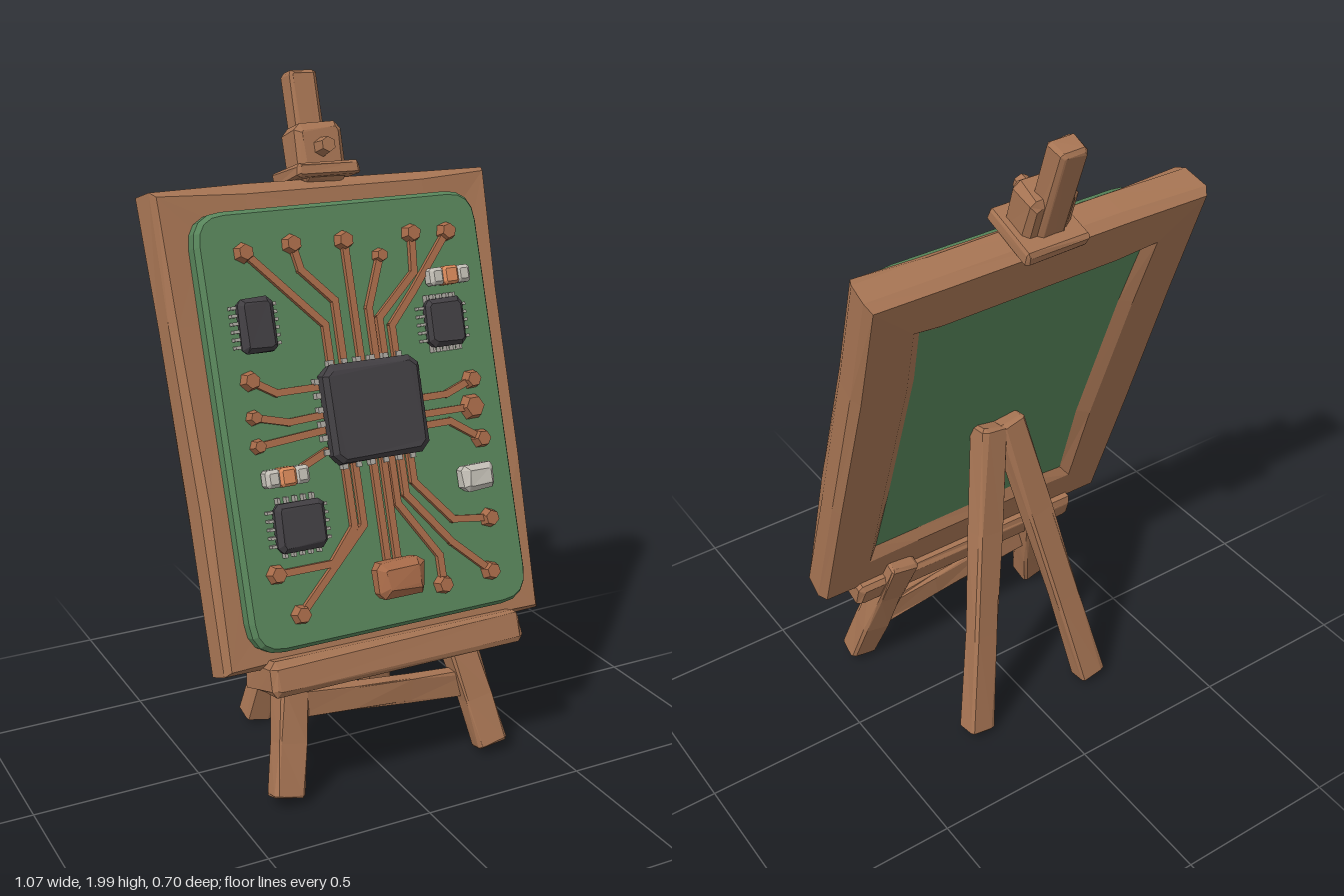
import * as THREE from 'three';

const mat = (name, color, side = THREE.FrontSide) => {
  const m = new THREE.MeshStandardMaterial({ color, flatShading: true, side });
  m.name = name;
  return m;
};

const TILT = 0.3175, C = Math.cos(TILT), S = Math.sin(TILT);
const FACE = 0.453; // front surface of the board, in the tilted frame
// height in the tilted frame of a point at upright height y and depth w
const lift = (y, w = FACE + 0.02) => (y - S * w) / C;

// repeatable wobble that depends only on position, so shared corners stay joined
const wobble = (x, y, z, k) => {
  const s = Math.sin(Math.round(x * 500) * 12.99 + Math.round(y * 500) * 78.23 + Math.round(z * 500) * 37.72 + k * 9.1) * 43758.5453;
  return (s - Math.floor(s)) * 2 - 1;
};

// chamfered block, centred, with hand-cut irregularity
function block(w, h, d, bevel = 0.012, rough = 0, steps = 1) {
  const a = w / 2 - bevel, b = h / 2 - bevel, c = Math.min(a, b) * 0.15;
  const shape = new THREE.Shape([[a, -b + c], [a, b - c], [a - c, b], [-a + c, b], [-a, b - c], [-a, -b + c], [-a + c, -b], [a - c, -b]]
    .map(p => new THREE.Vector2(...p)));
  const g = new THREE.ExtrudeGeometry(shape, {
    depth: d - 2 * bevel, steps, bevelEnabled: true, bevelSize: bevel, bevelThickness: bevel, bevelSegments: 1 });
  g.translate(0, 0, -d / 2 + bevel);
  const p = g.attributes.position;
  for (let i = 0; rough && i < p.count; i++) {
    const x = p.getX(i), y = p.getY(i), z = p.getZ(i);
    p.setXYZ(i, x + rough * wobble(x, y, z, 1), y + rough * wobble(x, y, z, 2), z + rough * 0.5 * wobble(x, y, z, 3));
  }
  g.computeVertexNormals();
  return g;
}

function add(parent, name, geometry, material, x = 0, y = 0, z = 0) {
  const m = new THREE.Mesh(geometry, material);
  m.name = name;
  m.position.set(x, y, z);
  parent.add(m);
  return m;
}

// wooden beam from a to b
function beam(parent, name, a, b, w, t, material) {
  const A = new THREE.Vector3(...a), B = new THREE.Vector3(...b);
  const m = new THREE.Mesh(block(w, t, A.distanceTo(B), 0.007, 0.005, 3), material);
  m.name = name;
  m.up.set(0, 0, 1);
  m.position.copy(A).add(B).multiplyScalar(0.5);
  m.lookAt(B);
  parent.add(m);
}

// mitred picture frame: one profile swept around corners and rail middles
function frameGeometry() {
  const profile = [[0.012, 0.27], [0, 0.3], [0.004, 0.37], [0.03, 0.4], [0.15, 0.395], [0.185, 0.29], [0.15, 0.267]];
  const stations = [ // x, v, inward x, inward v
    [-0.525, 0.32, 1, 1], [-0.2, 0.328, 0, 1], [0.2, 0.325, 0, 1], [0.525, 0.32, -1, 1],
    [0.522, 0.8, -1, 0], [0.525, 1.3, -1, 0], [0.543, 1.68, -1, -1],
    [0.3, 1.668, 0, -1], [-0.25, 1.675, 0, -1], [-0.543, 1.685, 1, -1],
    [-0.53, 1.3, 1, 0], [-0.518, 0.8, 1, 0]];
  const n = profile.length, pos = [], idx = [];
  stations.forEach(([x, v, ix, iv], s) => profile.forEach(([d, w], k) => {
    const j = 0.005 * wobble(x, v, w, k);
    const cut = ix && iv && k < 3 ? 0.012 : 0; // knocked-off corners
    pos.push(x + ix * (d + cut) + j, v + iv * (d + cut) + j * 0.6, w + (k > 0 && k < 5 ? j : 0));
    const a = s * n + k, b = s * n + (k + 1) % n, t = ((s + 1) % stations.length) * n;
    const c = t + k, e = t + (k + 1) % n;
    idx.push(a, c, b, b, c, e);
  }));
  const g = new THREE.BufferGeometry();
  g.setAttribute('position', new THREE.Float32BufferAttribute(pos, 3));
  g.setIndex(idx);
  g.computeVertexNormals();
  return g;
}

function boardGeometry() {
  const a = 0.43, b = 0.595, c = 0.08, s = new THREE.Shape();
  s.moveTo(-a + c, -b);
  s.lineTo(a - c, -b).quadraticCurveTo(a, -b, a, -b + c);
  s.lineTo(a, b - c).quadraticCurveTo(a, b, a - c, b);
  s.lineTo(-a + c, b).quadraticCurveTo(-a, b, -a, b - c);
  s.lineTo(-a, -b + c).quadraticCurveTo(-a, -b, -a + c, -b);
  return new THREE.ExtrudeGeometry(s, {
    depth: 0.06, curveSegments: 4, bevelEnabled: true, bevelSize: 0.012, bevelThickness: 0.018, bevelSegments: 1 });
}

export function createModel() {
  const wood = mat('wood', 0xa67453);
  const frameWood = wood;
  const green = mat('board green', 0x57845a);
  const copper = mat('copper', 0xa86b49);
  const black = mat('chip black', 0x413e42);
  const metal = mat('pin metal', 0xaaa69f);
  const ceramic = mat('pale ceramic', 0xc2beb5);
  const orange = mat('orange band', 0xd8895a);

  const model = new THREE.Group();
  model.name = 'circuitBoardEasel';
  const panel = new THREE.Group();
  panel.name = 'tiltedPanel';
  panel.rotation.x = -TILT;
  model.add(panel);

  // frame, board and ledge
  add(panel, 'pictureFrame', frameGeometry(), frameWood);
  add(panel, 'circuitBoard', boardGeometry(), green, 0, 0.988, FACE - 0.078);
  add(panel, 'boardBack', new THREE.BoxGeometry(0.8, 1.09, 0.1), green, 0, 1.0, 0.34);
  add(panel, 'ledge', block(0.8, 0.092, 0.21, 0.012, 0.005, 2), wood, 0, 0.31, 0.345);

  // mast with clamp and knob
  const post = block(0.085, 0.45, 0.07, 0.01, 0.004);
  add(panel, 'mast', post, wood, -0.003, 1.762, 0.315);
  add(panel, 'clampBlock', block(0.15, 0.17, 0.11, 0.018, 0.004), wood, 0, 1.742, 0.345);
  add(panel, 'clampPlate', block(0.195, 0.04, 0.19, 0.008, 0.004), wood, 0, 1.69, 0.335);
  add(panel, 'clampKnob', new THREE.CylinderGeometry(0.022, 0.03, 0.06, 6), wood, 0, 1.755, 0.415).rotation.x = Math.PI / 2;

  // legs and brace
  for (const s of [-1, 1]) {
    beam(model, 'frontLeg', [s * 0.34, 0.03, 0.27], [s * 0.25, 0.46, 0.13], 0.095, 0.075, wood);
    beam(model, 'backLeg', [s * 0.215, 0.018, -0.233], [s * 0.03, 0.985, -0.03], 0.08, 0.07, wood);
  }
  beam(model, 'brace', [-0.29, 0.28, 0.2], [0.29, 0.215, 0.2], 0.08, 0.04, wood);

  // chips: x, y, width, height, thickness, pins per side column, pins per row
  const chips = [[0.003, 1.1, 0.3, 0.275, 0.06, 6, 6], [-0.31, 1.36, 0.105, 0.15, 0.045, 6, 0],
    [0.27, 1.305, 0.125, 0.135, 0.045, 5, 5], [-0.267, 0.832, 0.15, 0.135, 0.045, 5, 5]];
  for (const [x, y, w, h, d, cols, rows] of chips) {
    const chip = new THREE.Group();
    chip.name = 'chip';
    chip.position.set(x, lift(y), FACE);
    panel.add(chip);
    add(chip, 'chipBody', block(w, h, d, 0.014, 0.003), black, 0, 0, d / 2);
    const pin = h * 0.06;
    for (const s of [-1, 1]) {
      for (let i = 0; i < cols; i++)
        add(chip, 'pin', new THREE.BoxGeometry(0.03, pin, 0.022), metal, s * w / 2, ((i + 0.5) / cols - 0.5) * h * 0.86, 0.011);
      for (let i = 0; i < rows; i++)
        add(chip, 'pin', new THREE.BoxGeometry(pin, 0.03, 0.022), metal, ((i + 0.5) / rows - 0.5) * w * 0.86, s * h / 2, 0.011);
    }
  }

  // banded resistors, capacitor and copper block
  for (const [x, y] of [[0.3, 1.43], [-0.29, 0.963]]) {
    for (const s of [-1, 1])
      add(panel, 'resistorEnd', block(0.045, 0.05, 0.05, 0.01), ceramic, x + s * 0.043, lift(y), FACE + 0.024);
    add(panel, 'resistorBand', block(0.05, 0.053, 0.053, 0.008), orange, x, lift(y), FACE + 0.025);
  }
  add(panel, 'capacitor', block(0.105, 0.075, 0.06, 0.016, 0.004), ceramic, 0.3, lift(0.875), FACE + 0.028);
  add(panel, 'copperBlock', block(0.15, 0.1, 0.08, 0.022, 0.005), copper, 0, lift(0.655, 0.5), FACE + 0.038);

  // traces run from the large chip; a pad closes each listed end
  const traces = [
    [[-0.1, 1.23], [-0.1, 1.34], [-0.31, 1.55]], [[-0.06, 1.23], [-0.06, 1.4], [-0.15, 1.49], [-0.165, 1.56]],
    [[-0.005, 1.23], [-0.005, 1.555]], [[0.042, 1.23], [0.042, 1.37], [0.1, 1.505]],
    [[0.07, 1.23], [0.07, 1.34], [0.2, 1.45], [0.21, 1.555]], [[0.106, 1.23], [0.106, 1.315], [0.19, 1.4], [0.325, 1.55]],
    [[-0.15, 1.18], [-0.275, 1.18], [-0.345, 1.22]], [[-0.15, 1.105], [-0.25, 1.1], [-0.35, 1.125]],
    [[-0.15, 1.065], [-0.35, 1.05]], [[-0.15, 1.01], [-0.24, 0.975]],
    [[0.16, 1.11], [0.25, 1.11], [0.34, 1.14]], [[0.16, 1.065], [0.33, 1.065]], [[0.16, 1.035], [0.25, 1.035], [0.345, 0.975]],
    [[-0.1, 0.97], [-0.1, 0.8], [-0.18, 0.715], [-0.35, 0.715]], [[-0.07, 0.97], [-0.07, 0.8], [-0.295, 0.6]],
    [[-0.012, 0.97], [-0.012, 0.68]], [[0.02, 0.97], [0.02, 0.69]],
    [[0.045, 0.97], [0.045, 0.84], [0.155, 0.68], [0.155, 0.6]], [[0.075, 0.97], [0.075, 0.86], [0.2, 0.71], [0.315, 0.61]],
    [[0.106, 0.97], [0.106, 0.89], [0.215, 0.77], [0.335, 0.755]]];
  const noPad = new Set([9, 15, 16]);
  traces.forEach((path, t) => {
    const pts = path.map(([x, y]) => [x, lift(y)]);
    for (let i = 1; i < pts.length; i++) {
      const [[x0, y0], [x1, y1]] = [pts[i - 1], pts[i]];
      const seg = new THREE.BoxGeometry(Math.hypot(x1 - x0, y1 - y0) + 0.012, 0.02, 0.022);
      add(panel, 'trace', seg, copper, (x0 + x1) / 2, (y0 + y1) / 2, FACE + 0.005).rotation.z = Math.atan2(y1 - y0, x1 - x0);
    }
    if (noPad.has(t)) return;
    const [x, y] = pts[pts.length - 1];
    const r = t === 11 ? 0.042 : t === 3 || t === 7 || t === 8 ? 0.024 : 0.031;
    add(panel, 'solderPad', new THREE.CylinderGeometry(r * 0.7, r, 0.036, 6), copper, x, y, FACE + 0.012).rotation.set(Math.PI / 2, t, 0);
  });

  return model;
}
